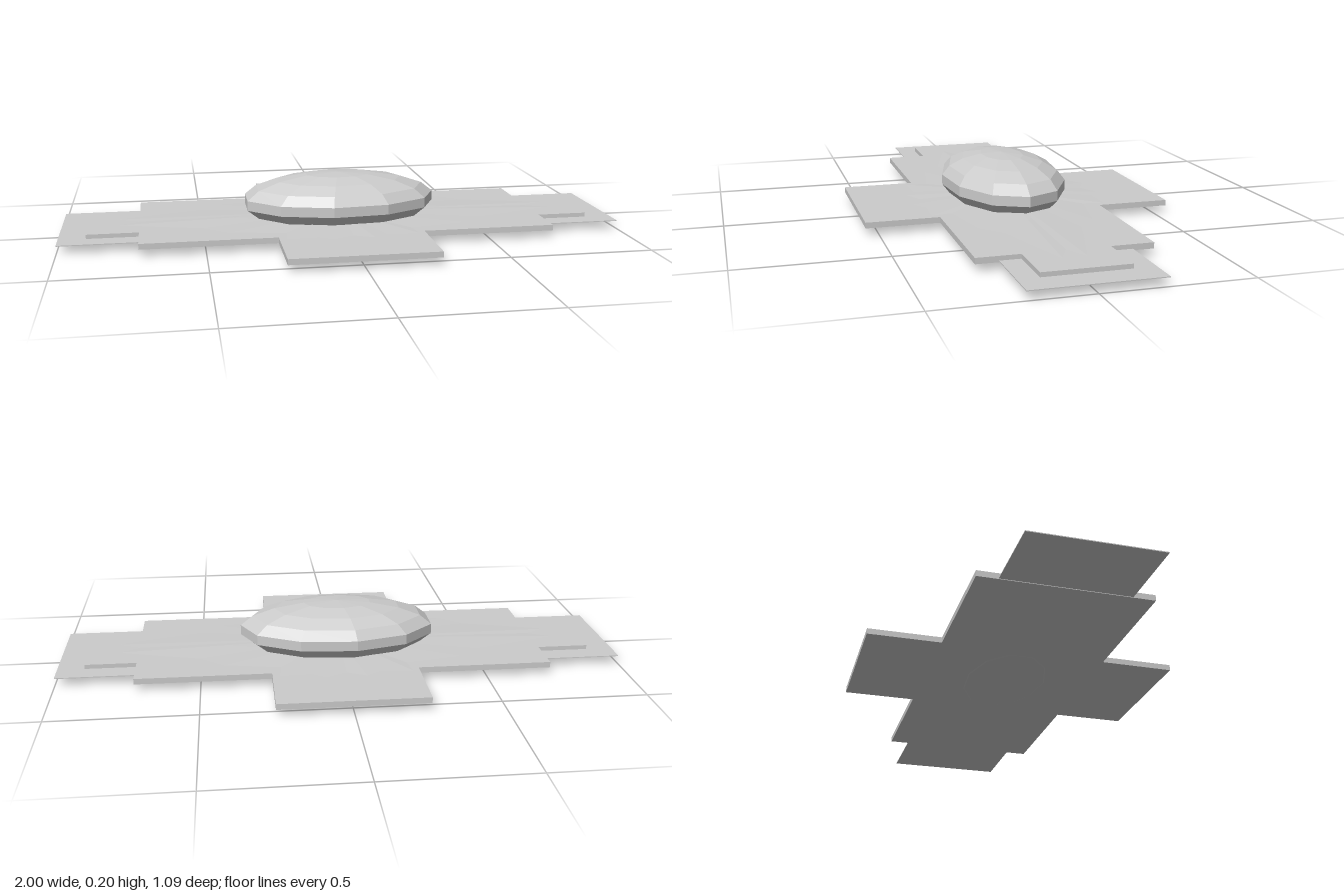
import * as THREE from 'three';

const grey = new THREE.MeshStandardMaterial({ color: 0xcccccc, flatShading: true, side: THREE.DoubleSide });

function add(group, name, geometry, x = 0, y = 0, z = 0) {
  const mesh = new THREE.Mesh(geometry, grey);
  mesh.name = name;
  mesh.position.set(x, y, z);
  group.add(mesh);
  return mesh;
}

// Mirror the points of one quarter (from the z axis round to the x axis) into a closed ring
function mirrorQuarter(quarter) {
  const half = [...quarter, ...quarter.map(([x, z]) => [x, -z]).reverse()];
  const ring = [...half, ...half.map(([x, z]) => [-x, z]).reverse()];
  return ring.filter(([x, z], i) => {
    const [px, pz] = ring[(i + ring.length - 1) % ring.length];
    return Math.hypot(x - px, z - pz) > 1e-6;
  });
}

// Shallow fan of facets rising from a jagged outline, through a middle ring, to a centre point
function reliefGeometry(outline, rimY, midY, topY) {
  const n = outline.length;
  const positions = [0, topY, 0];
  for (const [x, z] of outline) positions.push(x * 0.5, midY, z * 0.5);
  for (const [x, z] of outline) positions.push(x, rimY, z);
  const index = [];
  for (let i = 0; i < n; i++) {
    const j = (i + 1) % n;
    const a = 1 + i, b = 1 + j, c = a + n, d = b + n;
    index.push(0, a, b, a, c, d, a, d, b);
  }
  const geometry = new THREE.BufferGeometry();
  geometry.setAttribute('position', new THREE.Float32BufferAttribute(positions, 3));
  geometry.setIndex(index);
  geometry.computeVertexNormals();
  return geometry;
}

export function createModel() {
  const group = new THREE.Group();
  group.name = 'domeOnSteppedPlate';

  // Cross-shaped plate with short arms front and back
  const cross = mirrorQuarter([[0.255, 0.545], [0.255, 0.29], [0.725, 0.29]]);
  const shape = new THREE.Shape(cross.map(([x, z]) => new THREE.Vector2(x, z)));
  const plate = new THREE.ExtrudeGeometry(shape, { depth: 0.02, bevelEnabled: false });
  plate.rotateX(-Math.PI / 2);
  add(group, 'crossPlate', plate, 0, 0.026, 0);

  // End steps and the thin sheet under them
  for (const side of [-1, 1]) {
    add(group, 'endStep', new THREE.BoxGeometry(0.18, 0.016, 0.29), side * 0.815, 0.038, 0);
  }
  add(group, 'baseSheet', new THREE.BoxGeometry(2, 0.003, 0.434), 0, 0.0295, -0.002);

  // Faint jagged relief around the dome
  const relief = mirrorQuarter([
    [0, 0.31], [0.07, 0.345], [0.12, 0.31], [0.23, 0.315], [0.22, 0.24],
    [0.42, 0.2], [0.5, 0.13], [0.64, 0.09], [0.8, 0.04], [0.72, 0],
  ]);
  add(group, 'jaggedRelief', reliefGeometry(relief, 0.0465, 0.052, 0.055));

  // Faceted dome with a vertex towards +x
  const dome = new THREE.SphereGeometry(1, 11, 9);
  dome.rotateY(Math.PI);
  dome.scale(0.36, 0.1025, 0.218);
  add(group, 'dome', dome, 0, 0.1025, 0);

  return group;
}
